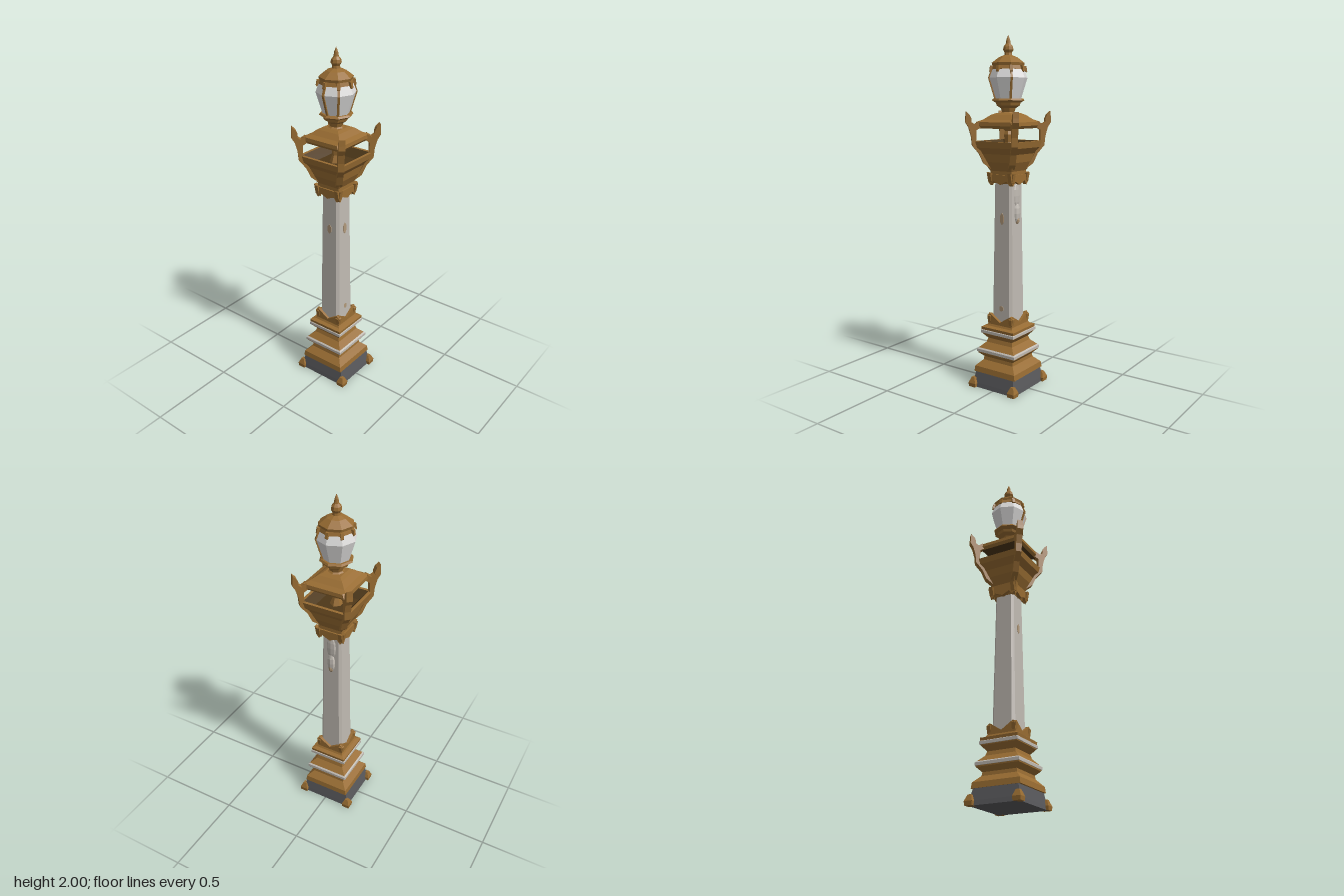
import * as THREE from 'three';

const mat = (name, color) => {
  const m = new THREE.MeshStandardMaterial({ color });
  m.name = name;
  return m;
};

export function createModel() {
  const gold = mat('antique gold', 0x986c32);
  const bronze = mat('dark bronze', 0x4e3819);
  const stone = mat('pale stone', 0xc0bab2);
  const slate = mat('dark slate', 0x58585b);
  const glass = mat('milky glass', 0xdcdbda);
  const tan = mat('weathered tan', 0xb0987a);
  const model = new THREE.Group();

  const facet = (g) => {
    const f = g.index ? g.toNonIndexed() : g;
    f.computeVertexNormals();
    return f;
  };
  const add = (name, geometry, material, parent = model) => {
    const mesh = new THREE.Mesh(facet(geometry), material);
    mesh.name = name;
    parent.add(mesh);
    return mesh;
  };
  // profile: [radius, y] from bottom to top
  const lathe = (profile, sides) =>
    new THREE.LatheGeometry(profile.map(([r, y]) => new THREE.Vector2(r, y)), sides);
  // square tower: profile of [half width, y]
  const square = (profile) =>
    lathe(profile.map(([h, y]) => [h * Math.SQRT2, y]), 4).rotateY(Math.PI / 4);
  const plate = (points, depth) => {
    const s = new THREE.Shape(points.map(([x, y]) => new THREE.Vector2(x, y)));
    return new THREE.ExtrudeGeometry(s, { depth, bevelEnabled: false }).translate(0, 0, -depth / 2);
  };

  // Foot block with four corner claws
  add('baseBlock', square([[0, 0], [0.156, 0], [0.152, 0.025], [0.139, 0.09], [0, 0.09]]), slate)
    .scale.z = 0.94;
  for (const x of [-1, 1]) for (const z of [-1, 1]) {
    const claw = add('cornerClaw', square([[0, 0], [0.022, 0], [0.024, 0.022], [0.01, 0.056], [0, 0.056]]), gold);
    claw.position.set(x * 0.151, 0, z * 0.137);
  }

  // Stepped pedestal
  add('pedestal', square([
    [0, 0.088], [0.142, 0.088], [0.138, 0.12], [0.103, 0.155], [0.1, 0.175], [0.125, 0.2],
    [0.127, 0.225], [0.09, 0.262], [0.083, 0.285], [0.108, 0.315], [0.112, 0.355],
    [0.09, 0.362], [0.08, 0.38], [0, 0.38],
  ]), gold);
  for (const [y, h] of [[0.207, 0.13], [0.32, 0.114]])
    add('stoneBand', square([[0, y], [h, y], [h, y + 0.016], [h - 0.016, y + 0.03], [0, y + 0.03]]), stone);

  // Tapered shaft with chamfered corners
  const shaft = new THREE.CylinderGeometry(0.062, 0.075, 0.85, 8, 1).rotateY(Math.PI / 8);
  const p = shaft.attributes.position;
  for (let i = 0; i < p.count; i++) {
    const x = p.getX(i), z = p.getZ(i);
    if (Math.abs(x) < Math.abs(z)) p.setX(i, x * 1.9);
    else p.setZ(i, z * 1.9);
  }
  add('shaft', shaft.translate(0, 0.785, 0), stone);

  // Rear shell ornament
  const shells = [[1.02, 0.026, 0.06, 0.018, stone], [1.12, 0.03, 0.07, 0.01, stone], [0.985, 0.016, 0.028, 0.018, tan]];
  for (const [y, sx, sy, sz, m] of shells) {
    const shell = add('rearShell', new THREE.SphereGeometry(1, 8, 6).scale(sx, sy, sz), m);
    shell.position.set(0, y, -0.058);
  }
  // Worn patches on the shaft
  for (const [angle, y, z, h] of [[0, 0.99, 0.0604, 0.06], [Math.PI / 2, 0.99, 0.0604, 0.07], [Math.PI / 2, 0.47, 0.0678, 0.035]]) {
    const patch = add('wornPatch', new THREE.CylinderGeometry(0.5, 0.5, 1, 6)
      .rotateX(Math.PI / 2).scale(0.03, h, 0.005).translate(0, y, z), tan);
    patch.rotation.y = angle;
  }

  // Leaf collars at both ends of the shaft
  for (let i = 0; i < 4; i++) {
    const lower = add('lowerLeafCollar', plate([
      [-0.08, 0.36], [0.08, 0.36], [0.09, 0.42], [0.07, 0.435], [0, 0.39], [-0.07, 0.435], [-0.09, 0.42],
    ], 0.02).translate(0, 0, 0.074), gold);
    const upper = add('upperLeafCollar', plate([
      [-0.065, 1.18], [-0.045, 1.205], [0, 1.185], [0.045, 1.205], [0.065, 1.18], [0.082, 1.2],
      [0.092, 1.25], [0.06, 1.24], [-0.06, 1.24], [-0.092, 1.25], [-0.082, 1.2],
    ], 0.022).translate(0, 0, 0.069), gold);
    lower.rotation.y = upper.rotation.y = i * Math.PI / 2;
  }

  // Flared capital with a dark hollow on top
  add('capital', square([
    [0, 1.19], [0.06, 1.19], [0.072, 1.23], [0.072, 1.26], [0.098, 1.31], [0.108, 1.355],
    [0.138, 1.39], [0.145, 1.425], [0.128, 1.425],
  ]), gold);
  add('capitalHollow', square([[0.128, 1.425], [0.09, 1.38], [0, 1.38]]), bronze);
  add('centrePost', lathe([[0.04, 1.37], [0.02, 1.42], [0.027, 1.46], [0.02, 1.48], [0.045, 1.51]], 6), gold);

  // Scrolled arms at the corners, drawn along the diagonal
  const armOutline = [
    [0.1, 1.27], [0.14, 1.3], [0.165, 1.355], [0.203, 1.4], [0.208, 1.45], [0.222, 1.5],
    [0.24, 1.53], [0.238, 1.555], [0.237, 1.588], [0.217, 1.57], [0.206, 1.545], [0.208, 1.53],
    [0.19, 1.518], [0.165, 1.535], [0.15, 1.505], [0.18, 1.485], [0.18, 1.42], [0.15, 1.36],
  ];
  for (let i = 0; i < 4; i++) {
    const arm = add('cornerArm', plate(armOutline, 0.034), gold);
    arm.rotation.y = Math.PI / 4 + i * Math.PI / 2;
  }

  // Canopy over the open cage, dark underneath
  add('canopyUnderside', square([[0, 1.505], [0.118, 1.495]]), bronze);
  add('canopy', square([
    [0.118, 1.495], [0.13, 1.51], [0.128, 1.53], [0.1, 1.543], [0.07, 1.568], [0.05, 1.578], [0, 1.578],
  ]), gold);

  // Lantern
  add('lanternFoot', lathe([
    [0.06, 1.565], [0.035, 1.585], [0.042, 1.605], [0.065, 1.62], [0.07, 1.635], [0.092, 1.648],
    [0.085, 1.658], [0, 1.658],
  ], 8), gold);
  add('lanternGlass', lathe([[0.072, 1.655], [0.108, 1.77], [0.085, 1.83]], 8), glass);
  for (const angle of [0, Math.PI / 4, 3 * Math.PI / 4]) {
    const rib = add('lanternRib', plate([
      [0.065, 1.655], [0.077, 1.655], [0.112, 1.77], [0.09, 1.83], [0.08, 1.83], [0.1, 1.77],
    ], 0.012), gold);
    rib.rotation.y = angle - Math.PI / 2;
  }
  // Pointed drops hanging from the lantern cap
  for (let i = 0; i < 8; i++) {
    const drop = add('capDrop', plate([[0.078, 1.835], [0.1, 1.8], [0.105, 1.805], [0.1, 1.835]], 0.016), gold);
    drop.rotation.y = i * Math.PI / 4;
  }
  add('lanternCap', lathe([
    [0, 1.815], [0.094, 1.815], [0.088, 1.835], [0.092, 1.85], [0.068, 1.868], [0.052, 1.88],
    [0.022, 1.892], [0.02, 1.905], [0.029, 1.92], [0.026, 1.937], [0.014, 1.952], [0.01, 1.975], [0, 2],
  ], 8), gold);

  return model;
}
